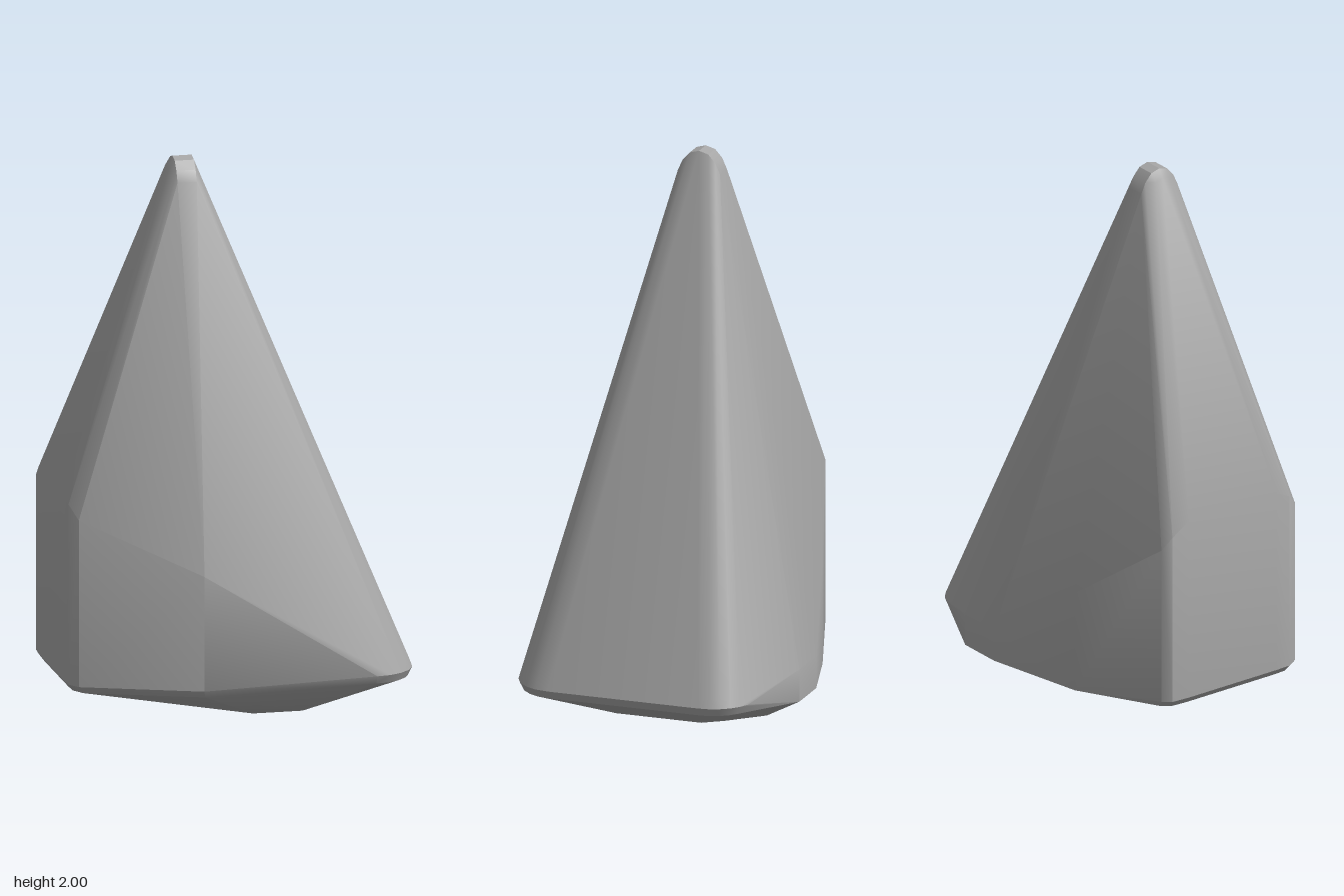
import * as THREE from 'three';
import { ConvexGeometry } from 'three/addons/geometries/ConvexGeometry.js';
import { toCreasedNormals } from 'three/addons/utils/BufferGeometryUtils.js';

const stone = new THREE.MeshStandardMaterial({ color: 0xa6a6a6 });
stone.name = 'grey stone';

export function createModel() {
  const points = [];
  const add = (x, y, z) => points.push(new THREE.Vector3(x, y, z));

  // rounded corner of the rim, with a slightly inset lower row
  const corner = (cx, cz, r, from, to, yTop, yLow) => {
    const steps = 5;
    for (let i = 0; i <= steps; i++) {
      const a = THREE.MathUtils.degToRad(from + ((to - from) * i) / steps);
      const x = cx + r * Math.cos(a), z = cz + r * Math.sin(a);
      add(x, yTop, z);
      add(x - 0.012 * Math.cos(a), yTop + 0.03, z - 0.012 * Math.sin(a));
      add(x - 0.015 * Math.cos(a), yLow, z - 0.015 * Math.sin(a));
    }
  };
  corner(0.46, 0.33, 0.16, 0, 90, 0.17, 0.14);
  corner(0.46, -0.24, 0.16, -70, 0, 0.17, 0.14);

  // upright edges around the left, front and back: x, z, top y, bottom y
  for (const [x, z, top, low] of [
    [-0.62, 0.22, 0.84, 0.15], [-0.617, 0.28, 0.81, 0.15], [-0.59, 0.325, 0.76, 0.15],
    [-0.17, 0.49, 0.57, 0.15],
    [-0.62, -0.17, 0.84, 0.15], [-0.615, -0.24, 0.79, 0.15], [-0.59, -0.27, 0.74, 0.15],
    [-0.24, -0.39, 0.48, 0.1], [0.1, -0.493, 0.24, 0.12], [0.27, -0.493, 0.24, 0.12],
  ]) {
    add(x, top, z);
    add(x, low, z);
    if (z > -0.3) add(x * 0.97, low - 0.025, z * 0.97);
  }

  // small flat foot under the stone
  for (const [x, z] of [[0, -0.1], [0, 0.2], [0.06, 0.26], [0.24, 0.26],
    [0.27, 0.2], [0.27, -0.12], [0.22, -0.19], [0.08, -0.19]]) add(x, 0, z);
  add(0.27, 0.055, -0.37);

  // blunt, rounded tip
  for (const [dz, y] of [[-0.08, 1.92], [-0.062, 1.96], [-0.035, 1.99], [0, 2],
    [0.035, 1.99], [0.062, 1.96], [0.08, 1.92]]) {
    const z = 0.03 + dz;
    add(-0.11, y, z);
    add(-0.18, y, z);
    add(-0.2, y - 0.03, 0.03 + dz * 0.85);
  }

  const body = new THREE.Mesh(toCreasedNormals(new ConvexGeometry(points), 0.55), stone);
  body.name = 'pointedStone';

  const model = new THREE.Group();
  model.name = 'pointedRock';
  model.add(body);
  return model;
}
